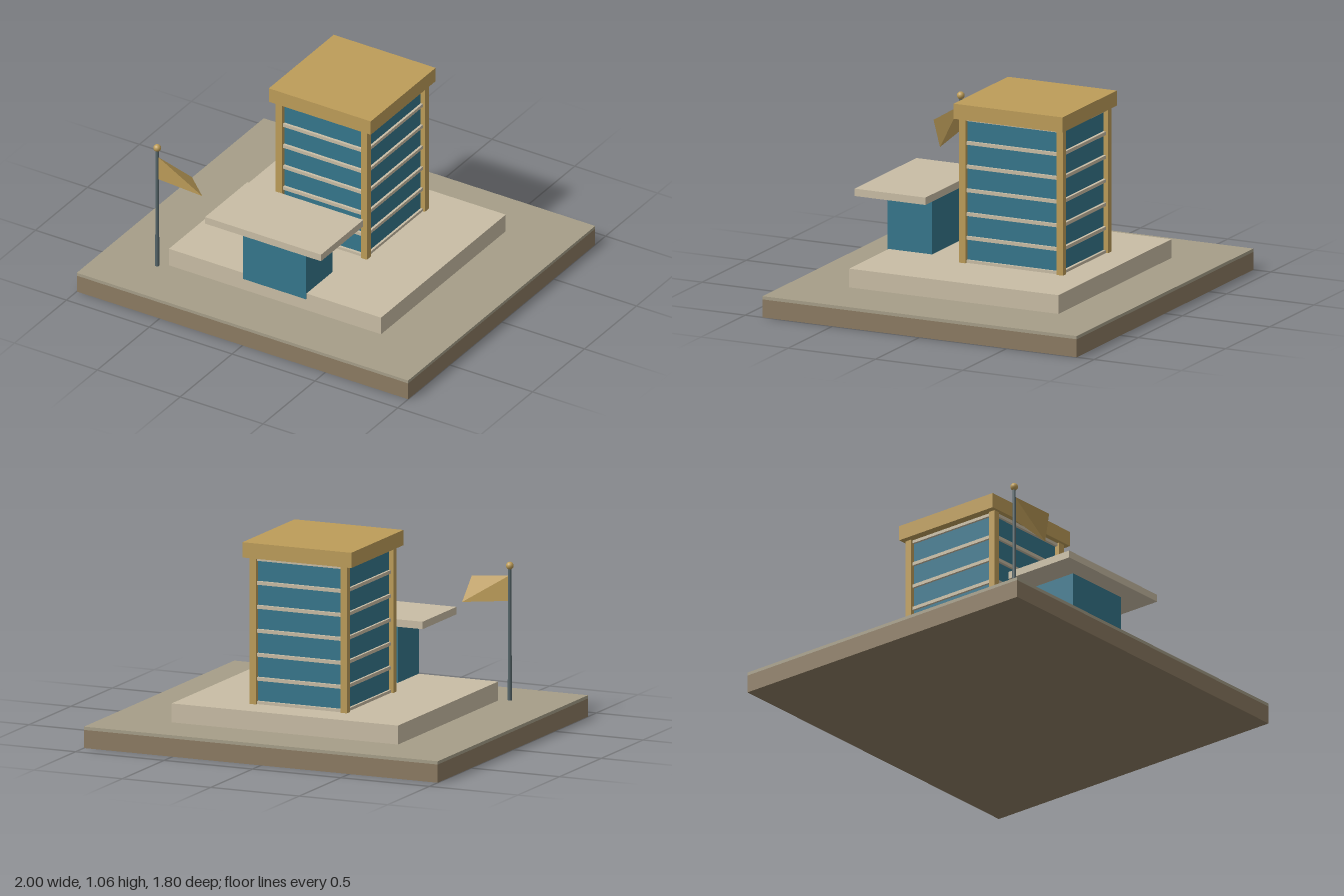
import * as THREE from 'three';

const mat = (color, extra = {}) => {
  const m = new THREE.MeshStandardMaterial(extra);
  m.color.setHex(color);
  return m;
};

export function createModel() {
  const model = new THREE.Group();
  model.name = 'officeBuilding';
  const earth = mat(0x8c7b62), paving = mat(0xa69e88), stone = mat(0xc9bda5);
  const glass = mat(0x35768c), gold = mat(0xbd9d59), steel = mat(0x56666a);

  const add = (parent, name, geometry, material, x = 0, y = 0, z = 0) => {
    const mesh = new THREE.Mesh(geometry, material);
    mesh.name = name;
    mesh.position.set(x, y, z);
    parent.add(mesh);
    return mesh;
  };
  // Box given by its width, depth and bottom and top heights
  const box = (parent, name, material, w, d, y0, y1, x = 0, z = 0) =>
    add(parent, name, new THREE.BoxGeometry(w, y1 - y0, d), material, x, (y0 + y1) / 2, z);

  // Site
  box(model, 'groundBase', earth, 2, 1.8, 0, 0.095);
  box(model, 'paving', paving, 2, 1.8, 0.095, 0.112);
  box(model, 'plinth', stone, 1.28, 1.2, 0.112, 0.211, 0, -0.013);

  // Tower: glass core, floor slabs, corner columns and roof
  const tower = new THREE.Group();
  tower.name = 'tower';
  tower.position.z = -0.156;
  model.add(tower);
  box(tower, 'glassCore', glass, 0.5, 0.54, 0.211, 0.97);
  for (let i = 0; i < 7; i++) {
    const y = 0.217 + i * 0.1253;
    box(tower, 'floorSlab', stone, 0.525, 0.57, Math.max(y - 0.009, 0.211), y + 0.009);
  }
  for (const sx of [-1, 1]) for (const sz of [-1, 1])
    box(tower, 'cornerColumn', gold, 0.037, 0.037, 0.211, 0.976, sx * 0.257, sz * 0.279);
  box(tower, 'roof', gold, 0.615, 0.624, 0.976, 1.056);

  // Entrance
  const entrance = new THREE.Group();
  entrance.name = 'entrance';
  model.add(entrance);
  box(entrance, 'lobby', glass, 0.38, 0.255, 0.18, 0.515, 0, 0.4665);
  box(entrance, 'canopy', stone, 0.7, 0.406, 0.514, 0.553, 0, 0.499);

  // Flagpole
  const flagpole = new THREE.Group();
  flagpole.name = 'flagpole';
  flagpole.position.set(-0.69, 0, 0.62);
  model.add(flagpole);
  add(flagpole, 'pole', new THREE.CylinderGeometry(0.008, 0.011, 0.69, 12), steel, 0, 0.457, 0);
  add(flagpole, 'finial', new THREE.SphereGeometry(0.02, 16, 12), gold, 0, 0.815, 0);

  // Flag: two triangles folded along the diagonal
  const flag = new THREE.BufferGeometry();
  flag.setAttribute('position', new THREE.Float32BufferAttribute([
    0.005, 0.762, 0, 0.005, 0.63, 0, 0.263, 0.604, -0.014,
    0.005, 0.762, 0, 0.263, 0.604, -0.014, 0.233, 0.735, 0.038,
  ], 3));
  flag.computeVertexNormals();
  add(flagpole, 'flag', flag, mat(0xbd9d59, { side: THREE.DoubleSide, flatShading: true }));

  return model;
}
